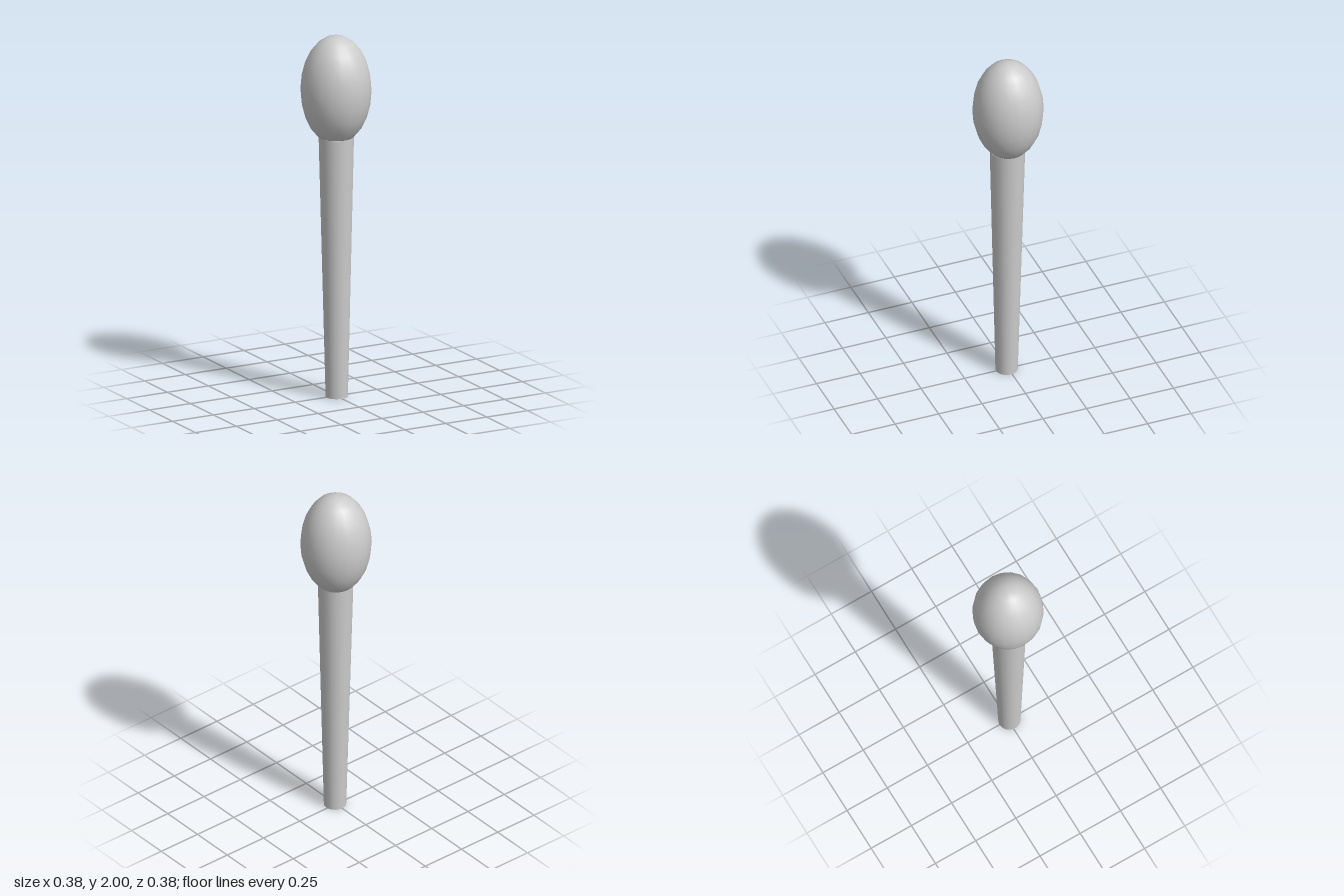
import * as THREE from 'three';

export function createModel() {
  const group = new THREE.Group();
  const material = new THREE.MeshStandardMaterial({ color: 0xcccccc });
  const sides = 20;

  // Egg-shaped head: a sphere stretched upward
  const headGeometry = new THREE.SphereGeometry(0.191, sides, 12);
  headGeometry.scale(1, 0.3 / 0.191, 1);
  const head = new THREE.Mesh(headGeometry, material);
  head.name = 'head';
  head.position.y = 1.7;
  group.add(head);

  // Tapered handle, wider at the head, with its foot leaning slightly forward
  const height = 1.44;
  const handleGeometry = new THREE.CylinderGeometry(0.095, 0.06, height, sides);
  handleGeometry.translate(0, height / 2, 0);
  const p = handleGeometry.attributes.position;
  for (let i = 0; i < p.count; i++) {
    p.setZ(i, p.getZ(i) + 0.003 + 0.005 * (1 - p.getY(i) / height));
  }
  const handle = new THREE.Mesh(handleGeometry, material);
  handle.name = 'handle';
  group.add(handle);

  return group;
}
